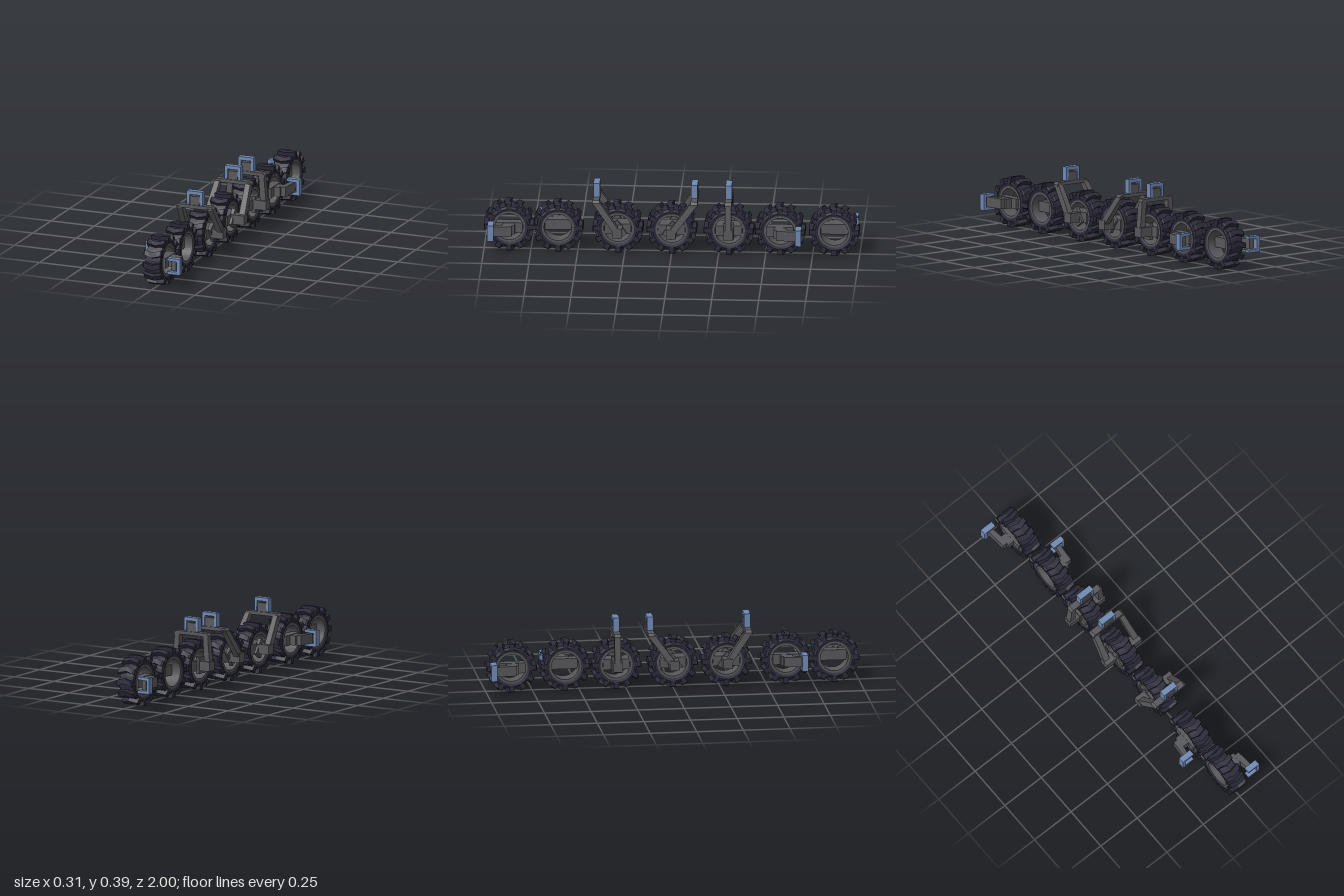
import * as THREE from 'three';

const tyreMat = new THREE.MeshStandardMaterial({ color: 0x2c2b3a, flatShading: true });
tyreMat.name = 'tyre rubber';
const greyMat = new THREE.MeshStandardMaterial({ color: 0x58575b, flatShading: true });
greyMat.name = 'frame grey';
const blueMat = new THREE.MeshStandardMaterial({ color: 0x7089b3, flatShading: true });
blueMat.name = 'bracket blue';

const R = 0.135;

function add(parent, name, geo, mat, x = 0, y = 0, z = 0) {
  const m = new THREE.Mesh(geo, mat);
  m.name = name;
  m.position.set(x, y, z);
  parent.add(m);
  return m;
}

// Box given by its limits on each axis
function block(parent, name, mat, [x0, x1], [y0, y1], [z0, z1]) {
  return add(parent, name, new THREE.BoxGeometry(x1 - x0, y1 - y0, z1 - z0), mat,
    (x0 + x1) / 2, (y0 + y1) / 2, (z0 + z1) / 2);
}

// Solid through four-cornered sections, each counterclockwise seen from the far end
function loft(sections) {
  const pos = [];
  const quad = (a, b, c, d) => pos.push(...a, ...b, ...c, ...a, ...c, ...d);
  for (let i = 0; i < sections.length - 1; i++) {
    const s = sections[i], t = sections[i + 1];
    for (let k = 0; k < 4; k++) quad(s[k], s[(k + 1) % 4], t[(k + 1) % 4], t[k]);
  }
  const [a, b, c, d] = sections[0];
  quad(d, c, b, a);
  quad(...sections[sections.length - 1]);
  const g = new THREE.BufferGeometry();
  g.setAttribute('position', new THREE.Float32BufferAttribute(pos, 3));
  g.computeVertexNormals();
  return g;
}

// Closed ring around the x axis, profile as [radius, x]
function ring(profile) {
  const pts = [...profile, profile[0]].map(([r, x]) => new THREE.Vector2(r, x));
  return new THREE.LatheGeometry(pts, 36).rotateZ(-Math.PI / 2);
}

// U-shaped plate in the xy plane, opening towards -y, centred on x
function clampShape(half, top, bottom, wall, cap) {
  const s = new THREE.Shape();
  [[-half, bottom], [-half + wall, bottom], [-half + wall + 0.003, top - cap], [half - wall - 0.003, top - cap],
    [half - wall, bottom], [half, bottom], [half, top], [-half, top]]
    .forEach(([x, y], i) => (i ? s.lineTo(x, y) : s.moveTo(x, y)));
  s.closePath();
  return s;
}

function plate(shape, depth) {
  return new THREE.ExtrudeGeometry(shape, { depth, bevelEnabled: false }).translate(0, 0, -depth / 2);
}

// Chevron lug, its point leading round the wheel
const lugGeo = loft([[-0.05, 0, 0.131], [-0.044, 0.015, R], [0, 0.11, R], [0.044, 0.015, R], [0.05, 0, 0.131]]
  .map(([x, shift, out]) => [[0.1, -1], [out, -1], [out, 1], [0.1, 1]].map(([r, side]) => {
    const t = shift + side * 0.115;
    return [x, r * Math.cos(t), r * Math.sin(t)];
  })));
const tyreGeo = ring([[0.083, -0.042], [0.1, -0.047], [0.112, -0.042], [0.114, 0], [0.112, 0.042], [0.1, 0.047], [0.083, 0.042]]);
const rimGeo = ring([[0.074, -0.043], [0.086, -0.043], [0.086, 0.043], [0.074, 0.043]]);

function makeWheel() {
  const w = new THREE.Group();
  w.name = 'wheel';
  w.position.x = -0.002;
  add(w, 'tyre', tyreGeo, tyreMat);
  add(w, 'rim', rimGeo, greyMat);
  for (let i = 0; i < 12; i++) add(w, 'treadLug', lugGeo, tyreMat).rotation.x = (i / 12) * Math.PI * 2;
  return w;
}

// Side arm on +x reaching towards +z
function makeArm(reach) {
  const g = new THREE.Group();
  g.name = 'sideArm';
  block(g, 'hubBar', greyMat, [0.005, 0.055], [-0.028, 0.028], [-0.071, 0.071]);
  block(g, 'axleBlock', greyMat, [0.05, 0.092], [-0.026, 0.026], [-0.032, 0.032]);
  add(g, 'arm', loft([[0.082, 0.116, -0.018], [0.098, 0.125, reach]].map(([x0, x1, z]) =>
    [[x0, -0.027, z], [x1, -0.027, z], [x1, 0.027, z], [x0, 0.027, z]])), greyMat);
  const clamp = add(g, 'armClamp', plate(clampShape(0.044, 0.154, 0.08, 0.014, 0.018), 0.033), blueMat, 0, 0, reach);
  clamp.geometry.rotateZ(-Math.PI / 2);
  return g;
}

// Overhead fork whose top is offset by lean along z
function makeFork(lean) {
  const g = new THREE.Group();
  g.name = 'fork';
  g.position.x = 0.003;
  const rise = 0.165;
  const tilt = Math.atan2(lean, rise);
  const h = 0.017 / Math.cos(tilt);
  block(g, 'hubBar', greyMat, [-0.045, 0.045], [-0.028, 0.028], [-0.071, 0.071]);
  for (const s of [-1, 1]) {
    add(g, 'axlePlate', new THREE.BoxGeometry(0.02, 0.09, 0.056), greyMat, s * 0.048).rotation.x = tilt;
    block(g, 'axleBlock', greyMat, s < 0 ? [-0.12, -0.05] : [0.05, 0.12], [-0.026, 0.026], [-0.026, 0.026]);
    add(g, 'forkLeg', loft([[0.083, 0.118, 0, 0], [0.073, 0.103, rise, lean]].map(([a, b, y, z]) => {
      const [x0, x1] = s > 0 ? [a, b] : [-b, -a];
      return [[x0, y, z + h], [x1, y, z + h], [x1, y, z - h], [x0, y, z - h]];
    })), greyMat);
  }
  const bar = new THREE.Shape();
  [[-0.107, 0.152], [-0.072, 0.158], [0.072, 0.158], [0.107, 0.152], [0.107, 0.164], [0.095, 0.177], [-0.095, 0.177], [-0.107, 0.164]]
    .forEach(([x, y], i) => (i ? bar.lineTo(x, y) : bar.moveTo(x, y)));
  bar.closePath();
  add(g, 'crossbar', plate(bar, 0.036), greyMat, 0, 0, lean);
  block(g, 'stem', greyMat, [-0.028, 0.028], [0.17, 0.225], [lean - 0.013, lean + 0.013]);
  add(g, 'forkClamp', plate(clampShape(0.045, 0.254, 0.179, 0.014, 0.019), 0.034), blueMat, 0, 0, lean);
  return g;
}

// Wheels from front to back with their mounts; side arms turn about an axis to reach other sides
const UNITS = [
  { z: 0.865, reach: 0.094 },
  { z: 0.605, reach: 0.09, turn: 'z' },
  { z: 0.286, lean: 0.113 },
  { z: 0, lean: -0.122 },
  { z: -0.304, lean: 0 },
  { z: -0.578, reach: 0.1, turn: 'x' },
  { z: -0.865, reach: 0.107, turn: 'y' },
];

export function createModel() {
  const model = new THREE.Group();
  model.name = 'wheelSet';
  for (const u of UNITS) {
    const unit = new THREE.Group();
    unit.name = 'wheelUnit';
    unit.position.set(0, R, u.z);
    unit.add(makeWheel());
    if (u.reach) {
      const arm = makeArm(u.reach);
      if (u.turn) arm.rotation[u.turn] = Math.PI;
      unit.add(arm);
    } else unit.add(makeFork(u.lean));
    model.add(unit);
  }
  return model;
}
